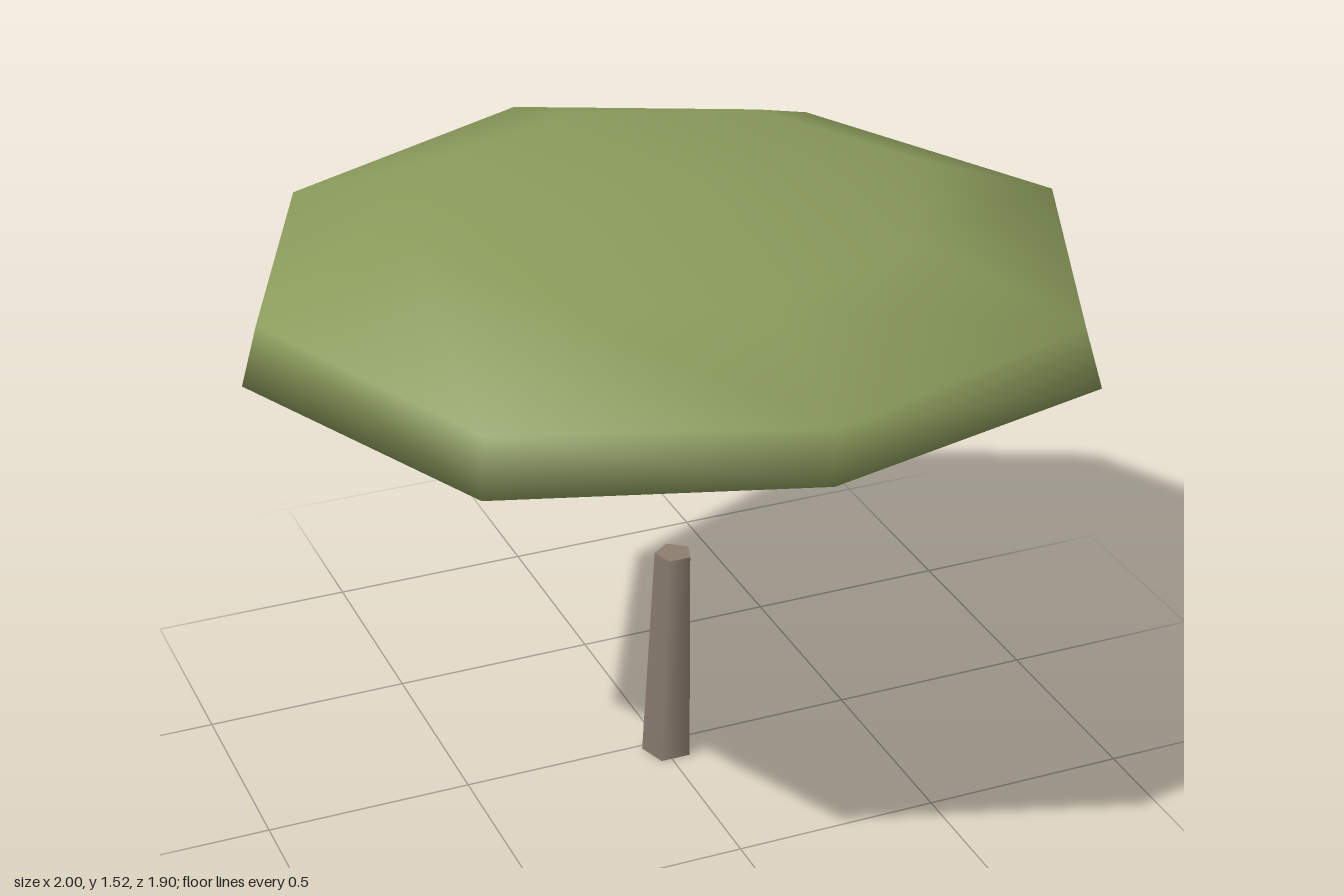
import * as THREE from 'three';
import { mergeVertices } from 'three/addons/utils/BufferGeometryUtils.js';

const leafMaterial = new THREE.MeshStandardMaterial({ color: 0x8a9a5b });
leafMaterial.name = 'moss green';
const barkMaterial = new THREE.MeshStandardMaterial({ color: 0x8b7d70 });
barkMaterial.name = 'bark grey brown';

// Flattened, slightly uneven crown: one height and eight radii per ring
function crownGeometry() {
  const rings = [
    { y: 1.52, r: 0 },
    { y: 1.467, r: [0.59, 0.6, 0.61, 0.61, 0.63, 0.59, 0.57, 0.58] },
    { y: 1.33, r: [0.96, 0.96, 0.92, 0.99, 1.0, 0.94, 0.98, 0.95] },
    { y: 1.19, r: [1.0, 0.98, 0.915, 1.035, 0.96, 0.93, 0.975, 0.94] },
    { y: 1.09, r: [0.6, 0.6, 0.59, 0.61, 0.61, 0.6, 0.59, 0.59] },
    { y: 1.047, r: 0 },
  ];
  const geo = new THREE.SphereGeometry(1, 8, 5);
  const pos = geo.attributes.position;
  for (let i = 0; i < pos.count; i++) {
    const ring = rings[Math.floor(i / 9)];
    const side = (i % 9) % 8;
    const radius = ring.r ? ring.r[side] : 0;
    const a = (side / 8) * Math.PI * 2;
    pos.setXYZ(i, -Math.cos(a) * radius, ring.y, Math.sin(a) * radius + 0.03);
  }
  // Weld the seam and poles so the shading runs smoothly round
  geo.deleteAttribute('uv');
  geo.deleteAttribute('normal');
  const welded = mergeVertices(geo, 1e-4);
  welded.computeVertexNormals();
  return welded;
}

// Five-sided tapered trunk, leaning a little to +x
function trunkGeometry() {
  const height = 0.55;
  const geo = new THREE.CylinderGeometry(0.046, 0.063, height, 5, 1, false, Math.PI / 5);
  geo.translate(0.01, height / 2, 0.033);
  const pos = geo.attributes.position;
  for (let i = 0; i < pos.count; i++) {
    pos.setX(i, pos.getX(i) + (pos.getY(i) / height) * 0.015);
  }
  return geo;
}

export function createModel() {
  const group = new THREE.Group();
  group.name = 'tree';

  const crown = new THREE.Mesh(crownGeometry(), leafMaterial);
  crown.name = 'crown';
  const trunk = new THREE.Mesh(trunkGeometry(), barkMaterial);
  trunk.name = 'trunk';

  group.add(crown, trunk);
  return group;
}
